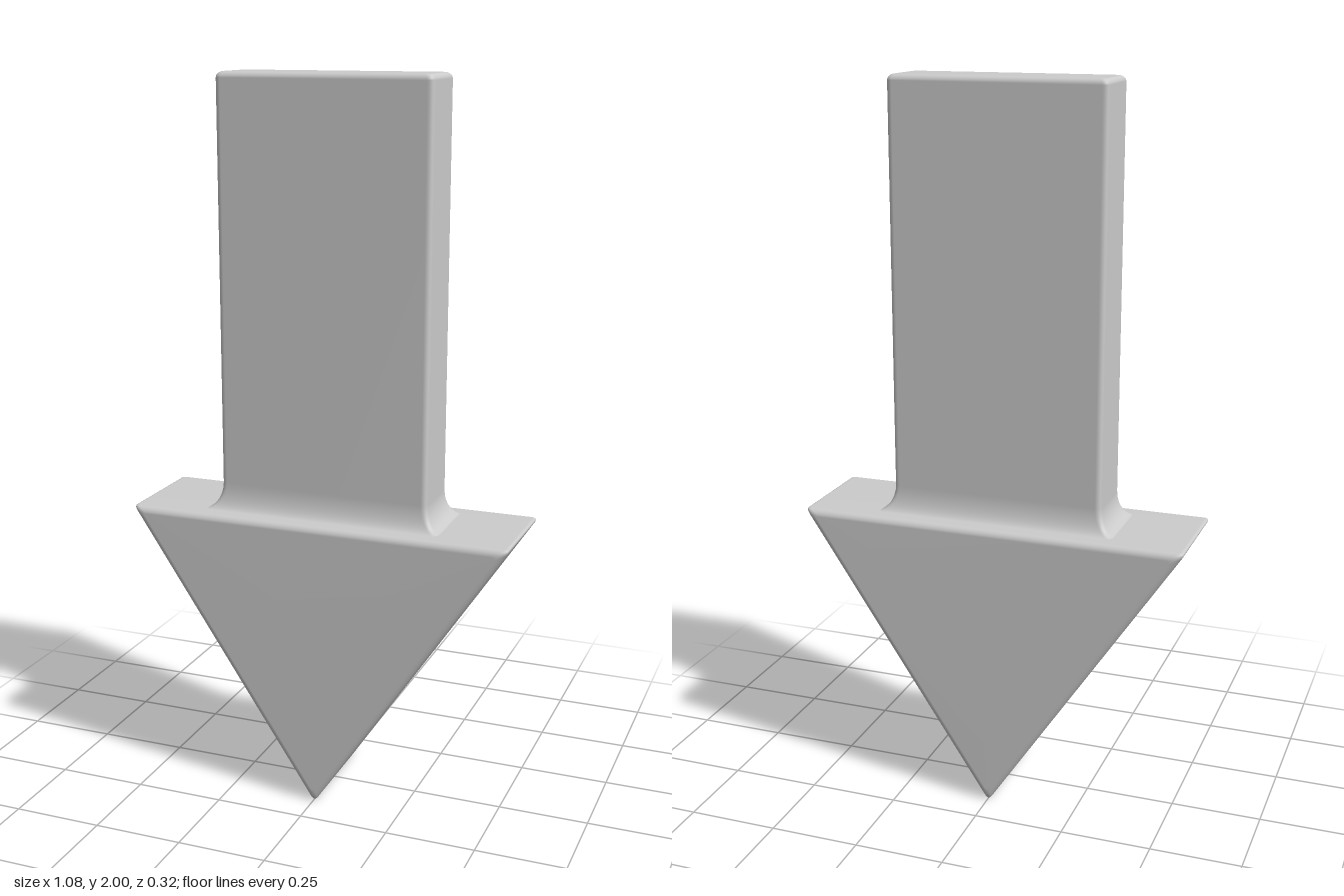
import * as THREE from 'three';

// Closed, smooth skin over a stack of matching rings, capped at both ends.
function loft(rings) {
  const n = rings[0].length;
  const points = rings.flat();
  const index = [];
  for (let k = 0; k < rings.length - 1; k++) {
    for (let i = 0; i < n; i++) {
      const a = k * n + i, b = k * n + (i + 1) % n;
      index.push(a, a + n, b, b, a + n, b + n);
    }
  }
  [rings[0], rings[rings.length - 1]].forEach((ring, end) => {
    const centre = new THREE.Vector3();
    ring.forEach((p) => centre.addScaledVector(p, 1 / n));
    const c = points.push(centre) - 1;
    const base = end ? (rings.length - 1) * n : 0;
    for (let i = 0; i < n; i++) {
      const a = base + i, b = base + (i + 1) % n;
      index.push(c, end ? b : a, end ? a : b);
    }
  });
  const geometry = new THREE.BufferGeometry().setFromPoints(points);
  geometry.setIndex(index);
  geometry.computeVertexNormals();
  return geometry;
}

// Polygon outline with each corner softened by a short curve.
function softPolygon(corners, trim, segments = 5) {
  const out = [];
  corners.forEach((p, i) => {
    const prev = corners[(i + corners.length - 1) % corners.length];
    const next = corners[(i + 1) % corners.length];
    const toward = (q) => q.clone().sub(p).setLength(trim).add(p);
    out.push(...new THREE.QuadraticBezierCurve(toward(prev), p, toward(next)).getPoints(segments));
  });
  return out;
}

const v2 = (x, y) => new THREE.Vector2(x, y);
const STEPS = 5;

// Triangular head: insetting a triangle is a scaling about its incentre.
function headGeometry() {
  const top = 0.815, half = 0.546, depth = 0.161, round = 0.02;
  const inradius = 0.29, cy = top - inradius;
  const outline = softPolygon([v2(0, -0.006), v2(half, top), v2(-half, top)], 0.016);
  const ring = (inset, z) => {
    const s = 1 - inset / inradius;
    return outline.map((p) => new THREE.Vector3(p.x * s, cy + (p.y - cy) * s, z));
  };
  const rings = [];
  for (const side of [1, -1]) {
    for (let i = 0; i <= STEPS; i++) {
      const t = (side > 0 ? i : STEPS - i) / STEPS * Math.PI / 2;
      rings.push(ring(round * (1 - Math.sin(t)), side * (depth - round * (1 - Math.cos(t)))));
    }
  }
  return loft(rings);
}

// Rectangular shaft: flared fillet at the base, softened edge at the top.
function shaftGeometry() {
  const hx = 0.298, hz = 0.087, base = 0.813, top = 2, round = 0.016;
  const ring = (y, gx, gz) => {
    const x = hx + gx, z = hz + gz;
    return softPolygon([v2(x, -z), v2(x, z), v2(-x, z), v2(-x, -z)], 0.016)
      .map((p) => new THREE.Vector3(p.x, y, p.y));
  };
  const rings = [ring(base - 0.03, 0.05, 0.03)];
  for (let i = 0; i <= 7; i++) {
    const t = i / 7 * Math.PI / 2;
    const g = 1 - Math.sin(t);
    rings.push(ring(base + 0.075 * (1 - Math.cos(t)), 0.05 * g, 0.03 * g));
  }
  for (let i = 0; i <= STEPS; i++) {
    const t = i / STEPS * Math.PI / 2;
    const inset = -round * (1 - Math.cos(t));
    rings.push(ring(top - round * (1 - Math.sin(t)), inset, inset));
  }
  return loft(rings);
}

export function createModel() {
  const group = new THREE.Group();
  group.name = 'downArrow';
  const material = new THREE.MeshStandardMaterial({ color: 0xcccccc });
  const add = (name, geometry) => {
    const mesh = new THREE.Mesh(geometry, material);
    mesh.name = name;
    group.add(mesh);
  };
  add('arrowHead', headGeometry());
  add('arrowShaft', shaftGeometry());
  return group;
}
